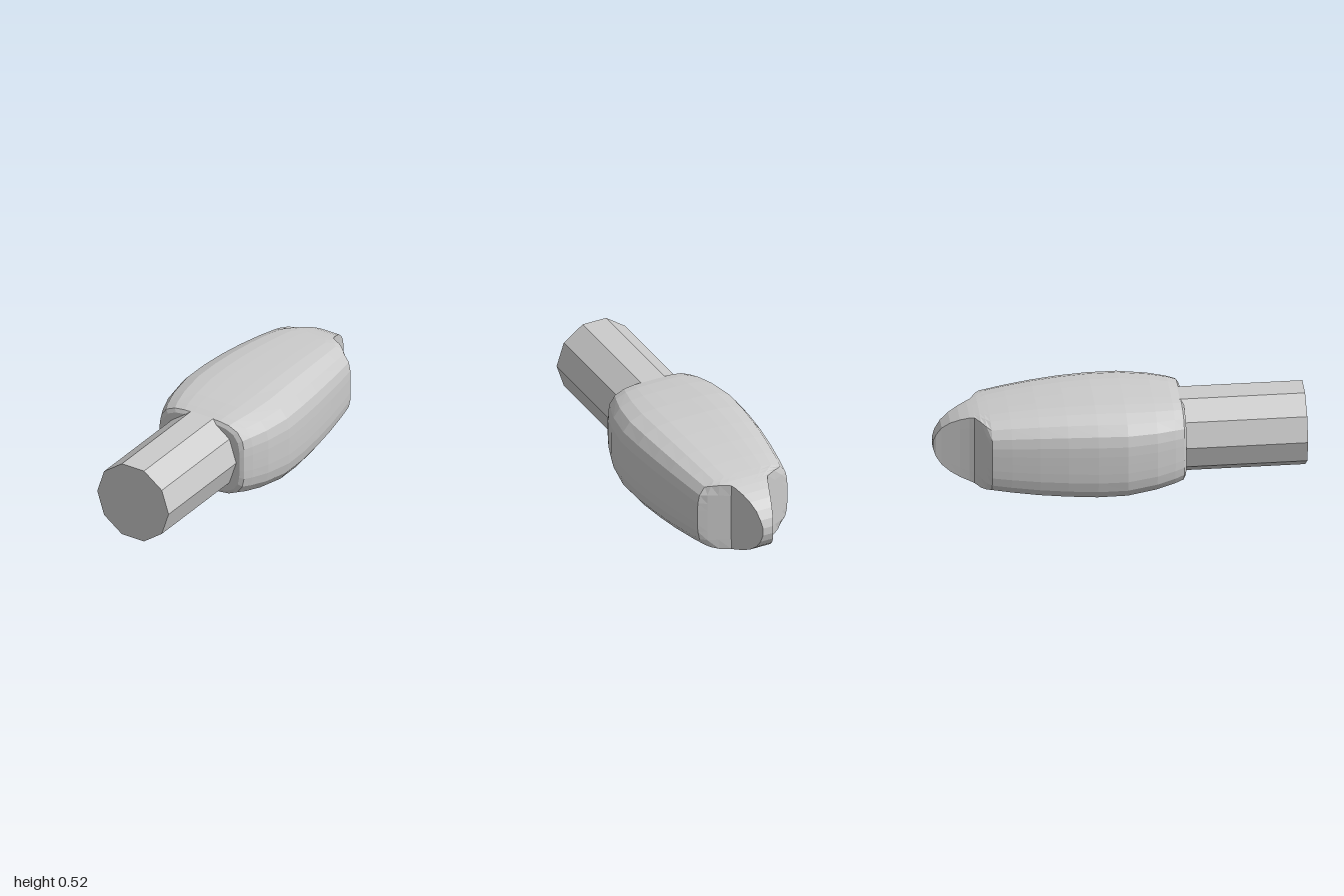
import * as THREE from 'three';

const CY = 0.27; // height of the long axis
const SIDES = 32;

// Body sections: z, half width, bottom y, top y, slab half width (shoulder and blade cut)
const SECTIONS = [
  [0.343, 0.25, 0.075, 0.475, 1],
  [0.33, 0.272, 0.055, 0.493, 1],
  [0.28, 0.295, 0.042, 0.503, 1],
  [0.18, 0.33, 0.025, 0.513, 1],
  [0.02, 0.357, 0.006, 0.523, 1],
  [-0.14, 0.352, 0.002, 0.526, 1],
  [-0.3, 0.338, 0.01, 0.521, 1],
  [-0.45, 0.318, 0.02, 0.511, 1],
  [-0.6, 0.293, 0.036, 0.496, 1],
  [-0.705, 0.272, 0.05, 0.482, 0.277],
  [-0.73, 0.267, 0.054, 0.478, 0.225],
  [-0.755, 0.263, 0.058, 0.474, 0.172],
  [-0.785, 0.258, 0.065, 0.466, 0.11],
  [-0.81, 0.253, 0.073, 0.459, 0.098],
  [-0.86, 0.245, 0.091, 0.44, 0.079],
  [-0.91, 0.235, 0.118, 0.414, 0.062],
  [-0.955, 0.22, 0.155, 0.378, 0.047],
  [-0.985, 0.2, 0.2, 0.333, 0.038],
  [-1, 0.18, 0.245, 0.289, 0.03],
];

// Rounded-box section trimmed by two vertical planes at x = +-slab
function sectionPoint([z, hw, y0, y1, slab], j) {
  const t = (j / SIDES) * Math.PI * 2, n = 4;
  const hh = (y1 - y0) / 2;
  const dx = Math.min(hw, slab) * Math.cos(t), dy = hh * Math.sin(t);
  let r = (Math.abs(dx / hw) ** n + Math.abs(dy / hh) ** n) ** (-1 / n);
  r = Math.min(r, slab / Math.max(Math.abs(dx), 1e-6));
  return [dx * r, (y0 + y1) / 2 + dy * r, z];
}

// Loft through the sections, closed by a cap at each end
function loftBody() {
  const pos = [], index = [];
  SECTIONS.forEach((s) => {
    for (let j = 0; j < SIDES; j++) pos.push(...sectionPoint(s, j));
  });
  const last = SECTIONS.length - 1;
  const front = pos.length / 3, back = front + 1;
  pos.push(0, CY, SECTIONS[0][0], 0, CY, SECTIONS[last][0]);
  for (let j = 0; j < SIDES; j++) {
    const k = (j + 1) % SIDES;
    for (let i = 0; i < last; i++) {
      const a = i * SIDES + j, b = i * SIDES + k;
      const d = a + SIDES, c = b + SIDES;
      index.push(a, d, b, b, d, c);
    }
    index.push(front, j, k, back, last * SIDES + k, last * SIDES + j);
  }
  const g = new THREE.BufferGeometry();
  g.setAttribute('position', new THREE.Float32BufferAttribute(pos, 3));
  g.setIndex(index);
  const flat = g.toNonIndexed();
  flat.computeVertexNormals();
  return flat;
}

export function createModel() {
  const group = new THREE.Group();
  group.name = 'bladedHead';
  const material = new THREE.MeshStandardMaterial({ color: 0xcccccc, flatShading: true });

  // Rounded body narrowing to a wedge-shaped blade at the back
  const body = new THREE.Mesh(loftBody(), material);
  body.name = 'bodyWithBlade';
  group.add(body);

  // Ten-sided shank at the front
  const shankGeometry = new THREE.CylinderGeometry(0.229, 0.229, 0.7, 10);
  shankGeometry.rotateY(Math.PI / 2).rotateX(Math.PI / 2);
  const shank = new THREE.Mesh(shankGeometry, material);
  shank.name = 'shank';
  shank.position.set(0, 0.276, 0.65);
  group.add(shank);

  return group;
}
